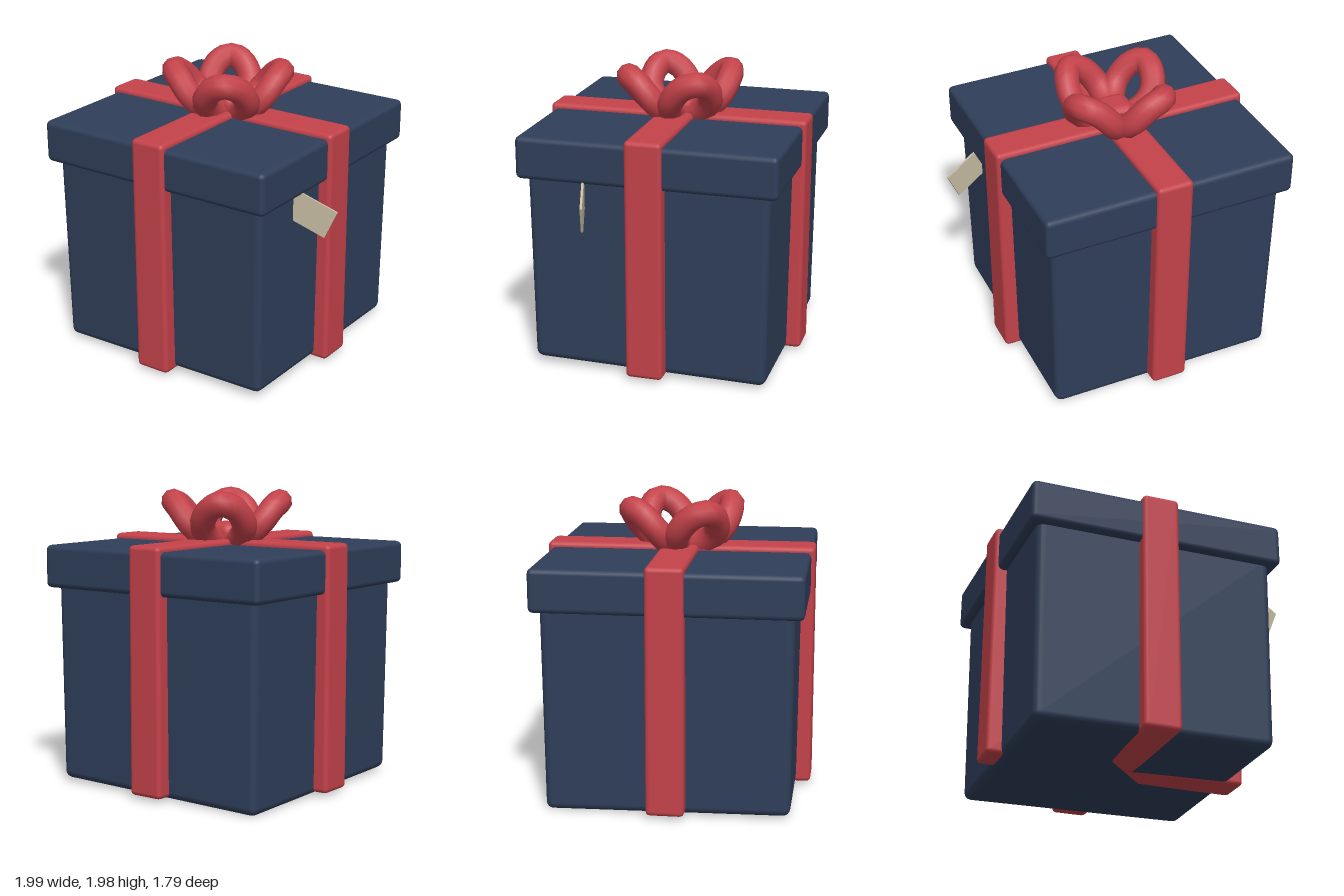
import * as THREE from 'three';
import { RoundedBoxGeometry } from 'three/addons/geometries/RoundedBoxGeometry.js';

function material(name, color) {
  const m = new THREE.MeshStandardMaterial({ color });
  m.name = name;
  return m;
}

export function createModel() {
  const navy = material('navy paper', 0x2f3e59);
  const red = material('red ribbon', 0xc4424a);
  const cream = material('cream card', 0xc6bba2);

  const model = new THREE.Group();
  model.name = 'giftBox';

  function add(parent, name, geometry, mat, x = 0, y = 0, z = 0) {
    const mesh = new THREE.Mesh(geometry, mat);
    mesh.name = name;
    mesh.position.set(x, y, z);
    parent.add(mesh);
    return mesh;
  }

  // Rounded box spanning two heights
  function slab(parent, name, w, d, y0, y1, radius, mat) {
    const geo = new RoundedBoxGeometry(w, y1 - y0, d, 2, radius);
    return add(parent, name, geo, mat, 0, (y0 + y1) / 2, 0);
  }

  // The box sits slightly turned
  const box = new THREE.Group();
  box.name = 'box';
  box.position.x = -0.1;
  box.rotation.y = 0.027;
  model.add(box);

  // Body: narrows a little downward and its underside is slightly slanted
  const body = slab(box, 'body', 1.62, 1.62, 0.022, 1.4, 0.05, navy);
  const pos = body.geometry.attributes.position;
  for (let i = 0; i < pos.count; i++) {
    const x = pos.getX(i), y = pos.getY(i), z = pos.getZ(i);
    if (y > 0) continue;
    pos.setXYZ(i, x * 0.985, y + 0.015 * x + 0.014 * z, z * 0.985);
  }

  // Lid
  slab(box, 'lid', 1.74, 1.74, 1.33, 1.615, 0.035, navy);

  // Crossed ribbons wrapped around box and lid
  slab(box, 'ribbonAcross', 1.79, 0.25, 0.024, 1.65, 0.03, red);
  slab(box, 'ribbonFrontToBack', 0.25, 1.79, 0.024, 1.65, 0.03, red);

  // Bow: four upward-curling loops around a knot
  const bow = new THREE.Group();
  bow.name = 'bow';
  bow.position.x = -0.095;
  model.add(bow);

  const half = [[0.13, 0.1, 1.66], [0.235, 0.14, 1.75], [0.32, 0.085, 1.86]];
  const ring = [
    [0.03, 0, 1.63],
    ...half,
    [0.36, 0, 1.895],
    ...half.slice().reverse().map(([r, t, y]) => [r, -t, y]),
  ].map(([r, t, y]) => new THREE.Vector3(r, y, t));
  const loopGeo = new THREE.TubeGeometry(
    new THREE.CatmullRomCurve3(ring, true), 28, 0.085, 10, true);
  for (let i = 0; i < 4; i++) {
    const loop = add(bow, 'bowLoop', loopGeo, red);
    loop.rotation.y = -0.99 + i * Math.PI / 2;
  }
  add(bow, 'knot', new RoundedBoxGeometry(0.24, 0.17, 0.24, 3, 0.07), red, 0, 1.675, 0);

  // Gift tag hanging from under the lid
  const tag = add(model, 'tag', new THREE.BoxGeometry(0.32, 0.2, 0.015), cream, 0.815, 1.215, 0.37);
  tag.rotation.set(0, 0.31, -0.42);

  return model;
}
